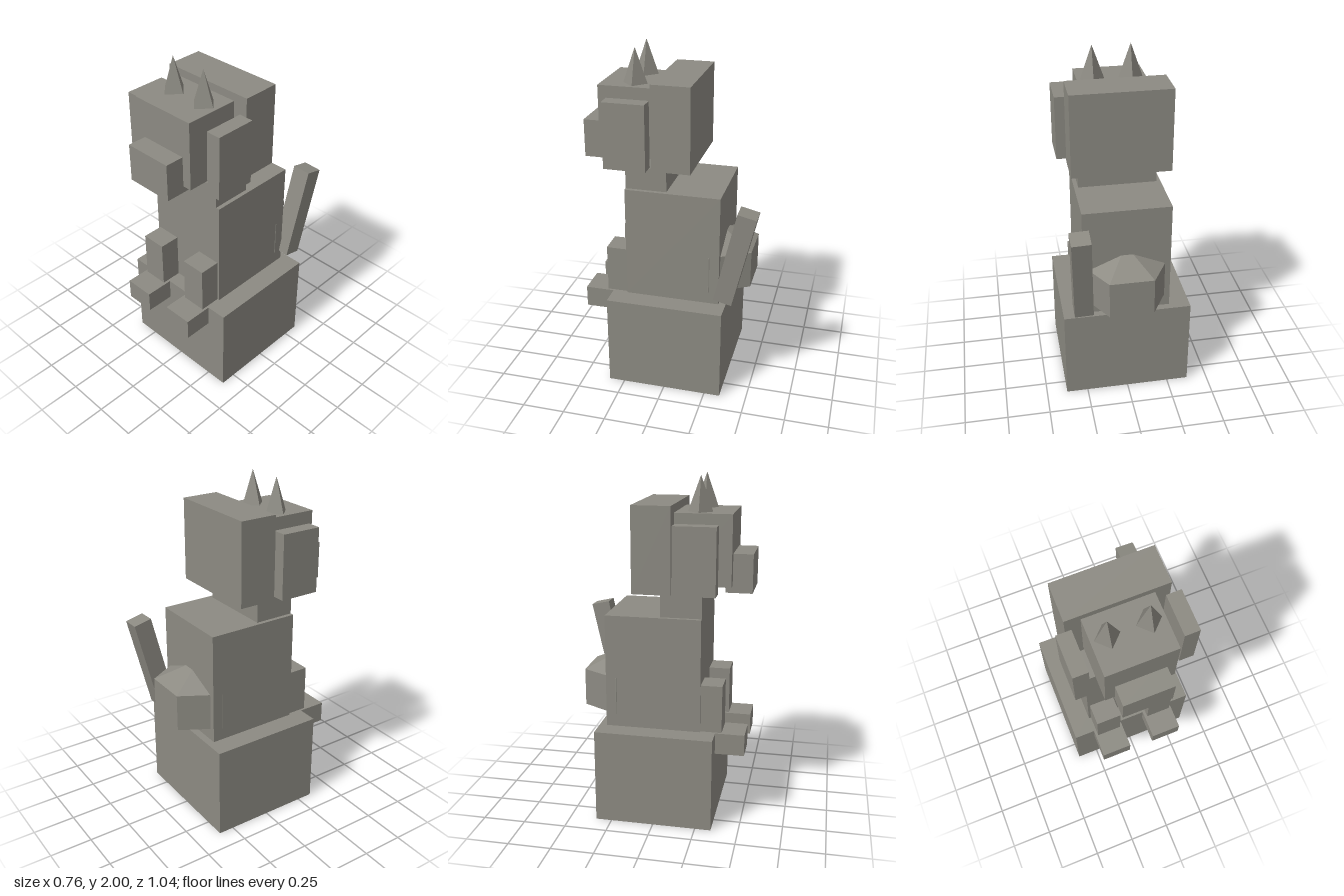
import * as THREE from 'three';

export function createModel() {
  const model = new THREE.Group();
  model.name = 'seatedStatue';

  const stone = new THREE.MeshStandardMaterial({ color: 0x8c8a82 });
  stone.name = 'warm grey stone';
  stone.flatShading = true;

  const add = (name, geometry) => {
    const mesh = new THREE.Mesh(geometry, stone);
    mesh.name = name;
    model.add(mesh);
    return mesh;
  };

  // Box given by its extents on each axis
  const block = (name, [x0, x1], [y0, y1], [z0, z1]) => {
    const mesh = add(name, new THREE.BoxGeometry(x1 - x0, y1 - y0, z1 - z0));
    mesh.position.set((x0 + x1) / 2, (y0 + y1) / 2, (z0 + z1) / 2);
    return mesh;
  };

  // Plinth and torso
  block('plinth', [-0.378, 0.378], [0, 0.556], [-0.343, 0.343]);
  block('body', [-0.256, 0.256], [0.556, 1.222], [-0.3, 0.254]);
  block('neck', [-0.232, 0.232], [1.222, 1.355], [0.015, 0.254]);

  // Head
  block('mane', [-0.288, 0.288], [1.36, 1.848], [-0.135, 0.087]);
  block('face', [-0.2, 0.2], [1.4, 1.802], [0.087, 0.41]);
  block('muzzle', [-0.145, 0.145], [1.36, 1.58], [0.37, 0.522]);

  // Paired parts
  for (const [side, s] of [['left', 1], ['right', -1]]) {
    const span = (a, b) => (s > 0 ? [a, b] : [-b, -a]);
    block(side + 'Ear', span(0.256, 0.343), [1.372, 1.75], [0.102, 0.343]);
    block(side + 'Leg', span(0.093, 0.242), [0.556, 0.836], [0.254, 0.378]);
    block(side + 'Foot', span(0.077, 0.256), [0.43, 0.556], [0.343, 0.512]);

    const horn = add(side + 'Horn', new THREE.ConeGeometry(0.07, 0.198, 4));
    horn.position.set(s * 0.111, 1.901, 0.22);
  }

  // Six-sided rump, mostly sunk into the body
  const rump = add('rump', new THREE.SphereGeometry(0.298, 6, 3));
  rump.scale.y = 0.745;
  rump.position.set(0, 0.74, -0.24);

  // Upright tail leaning back and outwards
  const tail = add('tail', new THREE.BoxGeometry(0.11, 0.575, 0.11));
  tail.position.set(0.276, 0.89, -0.4);
  tail.rotation.set(-0.228, 0, -0.038);

  return model;
}
